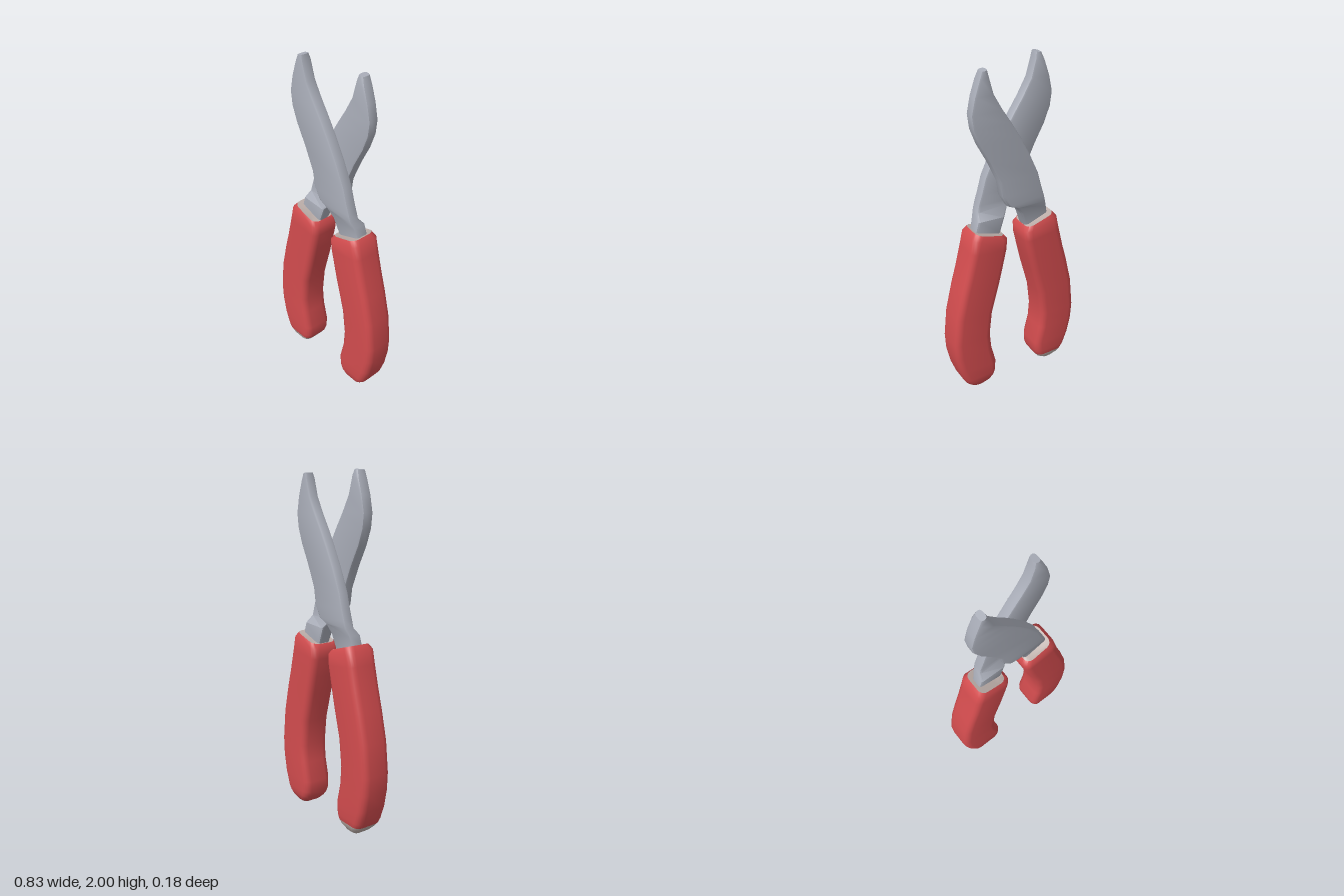
import * as THREE from 'three';
import { toCreasedNormals } from 'three/addons/utils/BufferGeometryUtils.js';

const paint = (name, color) => {
  const m = new THREE.MeshStandardMaterial({ color });
  m.name = name;
  return m;
};

// Lofts rounded rectangles, listed from top to bottom.
// Each row: [leftX, leftY, rightX, rightY, backZ, frontZ].
// isPale(i) picks the second material for band i (-1 = top cap, rows-1 = bottom cap).
function loft(rows, radius, steps, crease, isPale = () => false) {
  const pos = [];
  const count = 4 * (steps + 1);
  for (const [ax, ay, bx, by, z0, z1] of rows) {
    const w = Math.hypot(bx - ax, by - ay);
    const r = Math.min(radius, w * 0.45, (z1 - z0) * 0.45);
    for (let c = 0; c < 4; c++) {
      const sx = c === 0 || c === 3 ? 1 : -1;
      const sz = c < 2 ? 1 : -1;
      for (let k = 0; k <= steps; k++) {
        const t = (c + k / steps) * Math.PI / 2;
        const s = 0.5 + (sx * (w / 2 - r) + r * Math.cos(t)) / w;
        const z = (z0 + z1) / 2 + sz * ((z1 - z0) / 2 - r) + r * Math.sin(t);
        pos.push(ax + (bx - ax) * s, ay + (by - ay) * s, z);
      }
    }
  }
  const last = rows.length - 1;
  for (const [ax, ay, bx, by, z0, z1] of [rows[0], rows[last]]) {
    pos.push((ax + bx) / 2, (ay + by) / 2, (z0 + z1) / 2);
  }
  const topCentre = rows.length * count;
  const index = [];
  const geo = new THREE.BufferGeometry();
  for (let i = -1; i <= last; i++) {
    const start = index.length;
    for (let j = 0; j < count; j++) {
      const k = (j + 1) % count;
      const a = i * count + j, b = i * count + k;
      if (i === -1) index.push(topCentre, k, j);
      else if (i === last) index.push(topCentre + 1, a, b);
      else index.push(a, b, a + count, b, b + count, a + count);
    }
    geo.addGroup(start, index.length - start, isPale(i) ? 1 : 0);
  }
  geo.setAttribute('position', new THREE.Float32BufferAttribute(pos, 3));
  geo.setIndex(index);
  return toCreasedNormals(geo, crease);
}

// Blade from its tip down to the tang hidden in the grip
const bladeRows = [
  [-0.2, 1.995, -0.165, 2.0, 0.012, 0.066],
  [-0.217, 1.95, -0.158, 1.97, 0.004, 0.068],
  [-0.245, 1.87, -0.13, 1.87, 0.002, 0.068],
  [-0.265, 1.78, -0.078, 1.78, 0.002, 0.067],
  [-0.255, 1.7, -0.025, 1.7, 0.002, 0.067],
  [-0.22, 1.61, 0.03, 1.61, 0.002, 0.067],
  [-0.16, 1.5, 0.09, 1.5, 0.002, 0.067],
  [-0.1, 1.37, 0.15, 1.37, 0.002, 0.067],
  [-0.085, 1.28, 0.175, 1.28, 0.002, 0.067],
  [-0.045, 1.21, 0.195, 1.22, 0.002, 0.066],
  [0.01, 1.185, 0.205, 1.18, 0.0, 0.064],
  [0.05, 1.13, 0.22, 1.14, -0.034, 0.05],
  [0.08, 1.04, 0.235, 1.09, -0.036, 0.038],
  [0.11, 0.98, 0.25, 1.0, -0.036, 0.038],
];

// Grip from its rim down to the rounded end; last value is half the depth
const gripRows = [
  [0.1, 1.037, 0.225, 1.08, 0.06],
  [0.075, 1.037, 0.248, 1.088, 0.078],
  [0.056, 1.01, 0.272, 1.06, 0.091],
  [0.06, 0.95, 0.29, 0.98, 0.091],
  [0.085, 0.84, 0.325, 0.84, 0.091],
  [0.11, 0.735, 0.355, 0.735, 0.091],
  [0.16, 0.55, 0.395, 0.57, 0.091],
  [0.178, 0.39, 0.415, 0.39, 0.091],
  [0.17, 0.285, 0.41, 0.285, 0.091],
  [0.142, 0.165, 0.389, 0.18, 0.091],
  [0.145, 0.1, 0.36, 0.095, 0.09],
  [0.155, 0.068, 0.345, 0.066, 0.087],
  [0.172, 0.043, 0.325, 0.042, 0.08],
  [0.197, 0.018, 0.303, 0.018, 0.065],
  [0.225, 0.002, 0.28, 0.002, 0.045],
].map(([ax, ay, bx, by, d]) => [ax, ay, bx, by, -d, d]);

export function createModel() {
  const steel = paint('steel', 0xa9adb8);
  const red = paint('red rubber', 0xd24c4e);
  const pale = paint('worn rubber', 0xbcaea9);
  const model = new THREE.Group();
  model.name = 'handShears';

  // Two matching halves, the second turned half round to cross the first
  for (const side of ['left', 'right']) {
    const half = new THREE.Group();
    half.name = side + 'Half';
    const blade = new THREE.Mesh(loft(bladeRows, 0.014, 2, 0.6), [steel, steel]);
    blade.name = side + 'Blade';
    // Worn patches on the rim and the end of the grip
    const wornFrom = side === 'left' ? 13 : 11;
    const grip = new THREE.Mesh(
      loft(gripRows, 0.04, 4, 0.9, (i) => i < 1 || i >= wornFrom), [red, pale]);
    grip.name = side + 'Grip';
    half.add(blade, grip);
    if (side === 'right') {
      half.rotation.y = Math.PI;
      blade.scale.set(0.97, 0.992, 0.95);
    }
    model.add(half);
  }
  return model;
}
